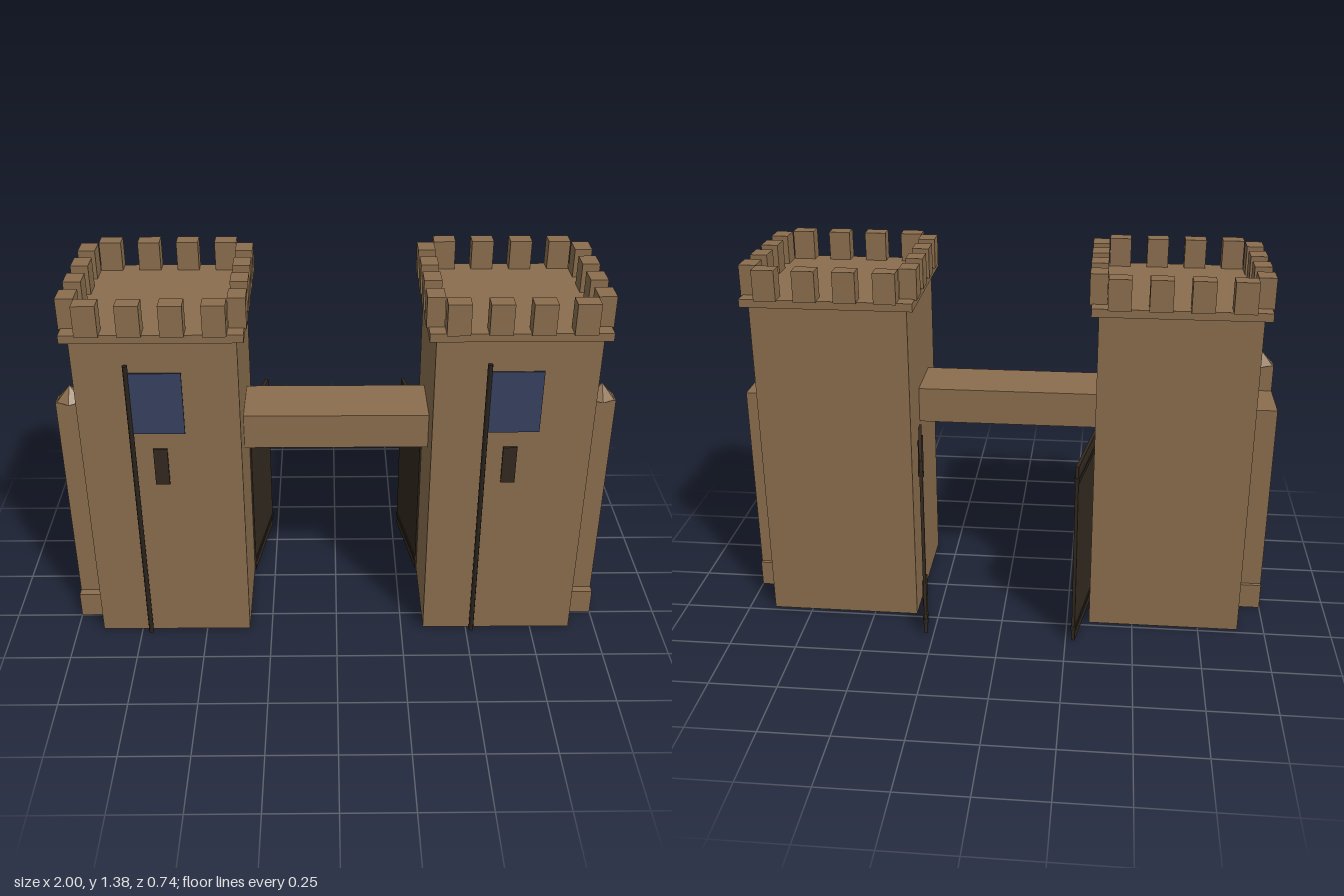
import * as THREE from 'three';

const mat = (name, color) => {
  const m = new THREE.MeshStandardMaterial({ color });
  m.name = name;
  return m;
};

export function createModel() {
  const stone = mat('stone', 0x8b6e4e);
  const darkWood = mat('darkWood', 0x33291f);
  const iron = mat('iron', 0x29231c);
  const cloth = mat('blueCloth', 0x36415f);

  const add = (parent, name, geometry, material, x, y, z) => {
    const mesh = new THREE.Mesh(geometry, material);
    mesh.name = name;
    mesh.position.set(x, y, z);
    parent.add(mesh);
    return mesh;
  };
  // Box given by its minimum and maximum corners
  const box = (parent, name, material, [x0, y0, z0], [x1, y1, z1]) =>
    add(parent, name, new THREE.BoxGeometry(x1 - x0, y1 - y0, z1 - z0), material,
      (x0 + x1) / 2, (y0 + y1) / 2, (z0 + z1) / 2);

  const model = new THREE.Group();
  model.name = 'castleGate';
  const centreX = 0.6175, centreZ = 0.0525, half = 0.2825;

  for (const side of [-1, 1]) {
    const tower = new THREE.Group();
    tower.name = side > 0 ? 'leftTower' : 'rightTower';
    tower.position.set(side * centreX, 0, centreZ);
    model.add(tower);

    // Shaft and projecting parapet slab
    box(tower, 'shaft', stone, [-half, 0, -half], [half, 1.24, half]);
    box(tower, 'parapet', stone, [-0.308, 1.238, -0.308], [0.308, 1.268, 0.308]);

    // Four merlons along each of the four edges
    const merlons = new THREE.Group();
    merlons.name = 'merlons';
    tower.add(merlons);
    for (let edge = 0; edge < 4; edge++) {
      const row = new THREE.Group();
      row.name = 'merlonRow';
      row.rotation.y = edge * Math.PI / 2;
      merlons.add(row);
      for (const x of [-0.2125, -0.071, 0.071, 0.2125])
        box(row, 'merlon', stone, [x - 0.04, 1.264, 0.254], [x + 0.04, 1.376, 0.316]);
    }

    // Window slit, flagpole and flag on the front wall
    box(tower, 'windowSlit', darkWood, [-0.029, 0.67, half], [0.021, 0.816, half + 0.008]);
    add(tower, 'flagpole', new THREE.CylinderGeometry(0.009, 0.009, 1.15, 8), iron, -0.0975, 0.575, 0.299);
    box(tower, 'flag', cloth, [-0.09, 0.886, 0.296], [0.09, 1.122, 0.302]);

    // Stepped buttress with a small capped pillar on the outer wall
    const buttress = new THREE.Group();
    buttress.name = 'buttress';
    model.add(buttress);
    const x0 = side > 0 ? 0.9 : -1, x1 = x0 + 0.1;
    box(buttress, 'buttressFoot', stone, [x0, 0, -0.062], [x1, 0.1, 0.25]);
    box(buttress, 'buttressBody', stone, [x0, 0.1, -0.048], [x1, 0.833, 0.155]);
    box(buttress, 'buttressPillar', stone, [x0, 0.1, 0.155], [x1, 0.935, 0.217]);
    const cap = new THREE.ConeGeometry(0.052, 0.056, 6).toNonIndexed();
    cap.computeVertexNormals();
    add(buttress, 'pillarCap', cap, stone, side * 0.95, 0.963, 0.185);

    // Gate leaf swung open to the back, with two bands
    const leaf = new THREE.Group();
    leaf.name = 'gateLeaf';
    leaf.position.set(side * 0.335, 0, -0.035);
    leaf.rotation.y = side * 0.17;
    model.add(leaf);
    box(leaf, 'gatePanel', darkWood, [-0.006, 0.004, -0.335], [0.006, 0.722, 0]);
    for (const y of [0.055, 0.668])
      box(leaf, 'gateBand', iron, [-0.01, y - 0.009, -0.336], [0.01, y + 0.009, 0]);
  }

  // Walkway joining the towers
  box(model, 'bridge', stone, [-0.335, 0.735, -0.033], [0.335, 0.868, 0.2]);
  return model;
}
